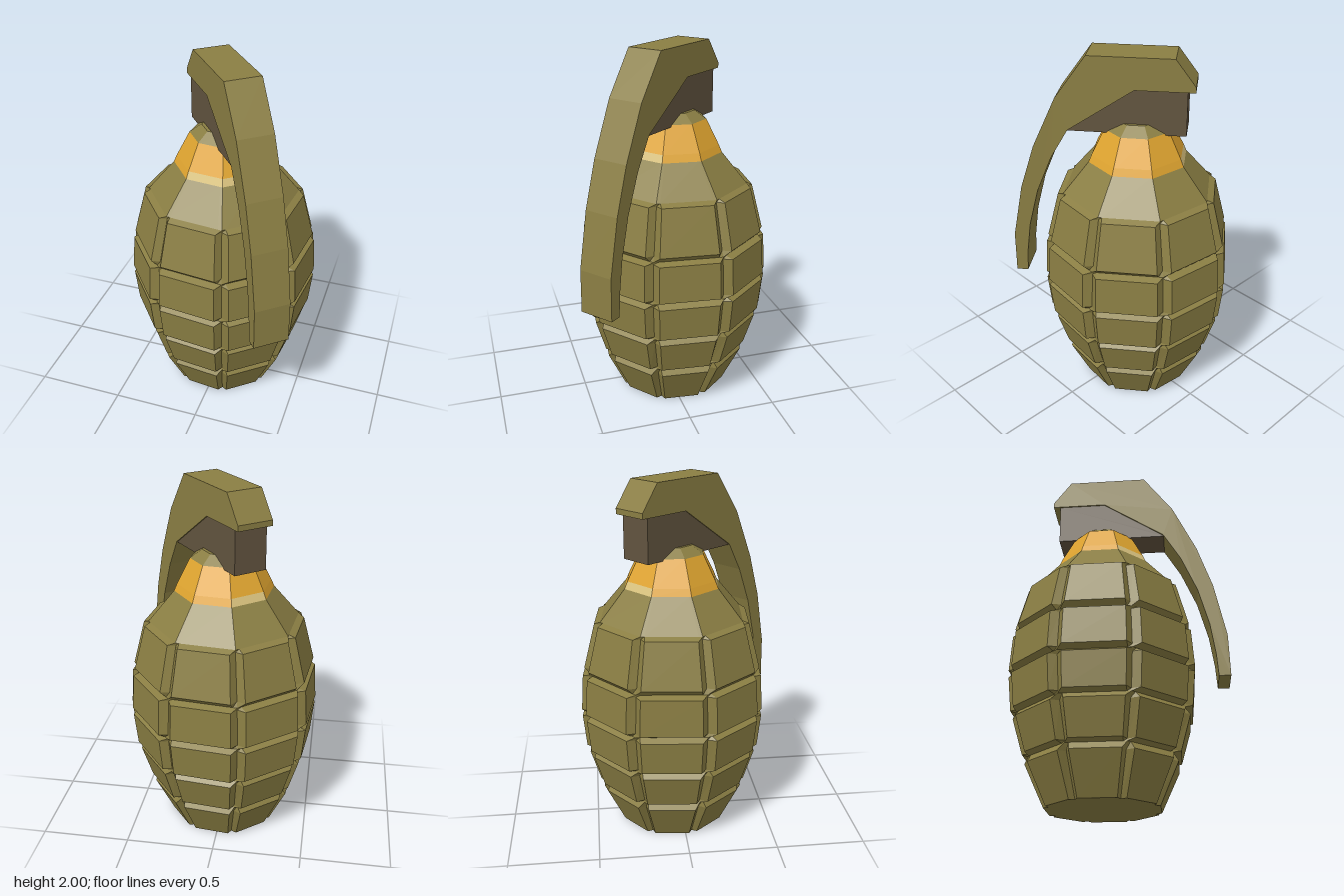
import * as THREE from 'three';

const SIDES = 8;
const STEP = (Math.PI * 2) / SIDES;
const TURN = THREE.MathUtils.degToRad(6);
const mat = (name, color) => {
  const m = new THREE.MeshStandardMaterial({ color });
  m.name = name;
  return m;
};

// Ring of three points per side: both panel edges, then the valley at the corner.
function ring([y, apothem, depth = 0]) {
  const points = [];
  const half = apothem * Math.tan(STEP / 2) * (depth > 0 ? 0.79 : 0.87);
  const valley = (apothem - depth) / Math.cos(STEP / 2);
  for (let k = 0; k < SIDES; k++) {
    const a = TURN + k * STEP, c = Math.cos(a), s = Math.sin(a);
    for (const h of [-half, half]) {
      points.push([apothem * c - h * s, y, apothem * s + h * c]);
    }
    points.push([valley * Math.cos(a + STEP / 2), y, valley * Math.sin(a + STEP / 2)]);
  }
  return points;
}

// Skin over rings; optional end caps and a choice of sides.
function loft(levels, { bottom = false, top = false, sides = () => true } = {}) {
  const rings = levels.map(ring), pos = [], n = SIDES * 3;
  const tri = (...p) => p.forEach((q) => pos.push(...q));
  for (let j = 0; j < rings.length - 1; j++) {
    const lo = rings[j], hi = rings[j + 1];
    for (let i = 0; i < n; i++) {
      if (!sides(Math.floor(((i + 1) % n) / 3))) continue;
      const e = (i + 1) % n;
      tri(lo[i], hi[i], lo[e]);
      tri(lo[e], hi[i], hi[e]);
    }
  }
  const first = rings[0], last = rings[rings.length - 1];
  for (let i = 0; i < n; i++) {
    const e = (i + 1) % n;
    if (bottom) tri([0, first[0][1], 0], first[i], first[e]);
    if (top) tri([0, last[0][1], 0], last[e], last[i]);
  }
  const g = new THREE.BufferGeometry();
  g.setAttribute('position', new THREE.Float32BufferAttribute(pos, 3));
  g.computeVertexNormals();
  return g;
}

// Side profile extruded to a centred width.
function slab(points, width) {
  const shape = new THREE.Shape(points.map(([x, y]) => new THREE.Vector2(x, y)));
  return new THREE.ExtrudeGeometry(shape, { depth: width, bevelEnabled: false })
    .translate(0, 0, -width / 2);
}

export function createModel() {
  const olive = mat('olive', 0x8a7e43);
  const brown = mat('dark brown', 0x62543f);
  const orange = mat('orange', 0xe0a530);
  const cream = mat('cream', 0xdcc580);
  for (const m of [olive, brown, orange, cream]) m.flatShading = true;

  const model = new THREE.Group();
  model.name = 'grenade';
  const add = (name, geometry, material, parent = model) => {
    const mesh = new THREE.Mesh(geometry, material);
    mesh.name = name;
    parent.add(mesh);
  };

  // Segmented body: panel rows (with valley depth) separated by groove rings
  const D = 0.045;
  add('body', loft([
    [0, 0.3, 0.03], [0.22, 0.4, D],
    [0.258, 0.375], [0.27, 0.415, D], [0.46, 0.47, D],
    [0.49, 0.445], [0.505, 0.485, D], [0.695, 0.503, D],
    [0.715, 0.468], [0.735, 0.505, D], [0.94, 0.492, D],
    [0.953, 0.45], [0.985, 0.482, D], [1.235, 0.42, 0.04],
    [1.25, 0.385],
  ], { bottom: true }), olive);

  // Tapering neck with painted bands
  const painted = (k) => k === 1 || k === 2 || k === 5;
  add('shoulder', loft([[1.25, 0.385], [1.42, 0.252]]), olive);
  add('creamBand', loft([[1.42, 0.252], [1.46, 0.236]], { sides: painted }), cream);
  add('lowerOrangeBand', loft([[1.42, 0.252], [1.46, 0.236]], { sides: (k) => !painted(k) }), orange);
  add('orangeBand', loft([[1.46, 0.236], [1.6, 0.17]]), orange);
  add('neckCap', loft([[1.6, 0.17], [1.645, 0.11]], { top: true }), olive);

  // Safety lever and fuse block, turned to face one of the body's sides
  const handle = new THREE.Group();
  handle.name = 'handle';
  handle.rotation.y = -(TURN + STEP);
  model.add(handle);
  add('lever', slab([
    [-0.195, 2], [-0.3, 1.86], [-0.3, 1.83], [0.01, 1.83], [0.36, 1.595],
    [0.456, 1.43], [0.543, 1.22], [0.6, 1], [0.625, 0.82], [0.633, 0.69],
    [0.698, 0.69], [0.694, 0.93], [0.632, 1.24], [0.55, 1.49], [0.42, 1.77], [0.253, 2],
  ], 0.2), olive, handle);
  add('fuseBlock', slab([
    [-0.26, 1.83], [-0.26, 1.59], [0.362, 1.59], [0.362, 1.6], [0.015, 1.835],
  ], 0.185), brown, handle);

  model.position.z = -0.045;
  const root = new THREE.Group();
  root.name = 'model';
  root.add(model);
  return root;
}
